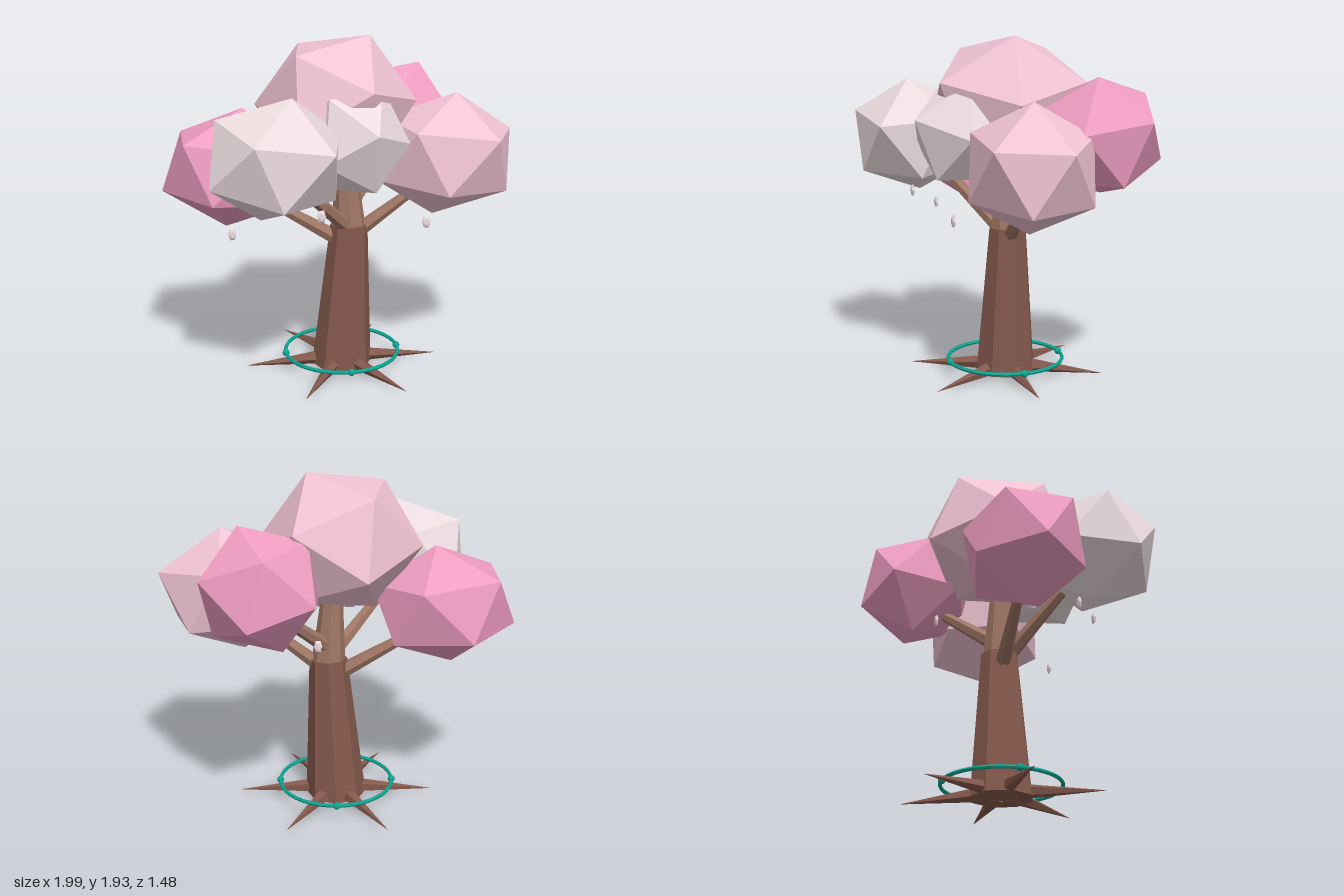
import * as THREE from 'three';

const V = (a) => new THREE.Vector3(...a);
const mat = (color) => new THREE.MeshStandardMaterial({ color, flatShading: true });
const BARK = mat(0x85594d), BRANCH = mat(0xa07765), TEAL = mat(0x0fa391);
const PALE = mat(0xecdcdf), LIGHT = mat(0xf0c3d3), PINK = mat(0xee9dc1);

// Orthonormal frame from a vertex direction and a neighbouring vertex direction
function frame(u, v) {
  const x = u.clone().normalize();
  const z = x.clone().cross(v).normalize();
  return new THREE.Matrix4().makeBasis(x, z.clone().cross(x), z);
}

// Twenty-sided leaf cluster, turned so one corner points along u and the next towards v
function cluster(name, center, size, u, v, material) {
  const t = (1 + Math.sqrt(5)) / 2;
  const geo = new THREE.IcosahedronGeometry(1, 0);
  const base = frame(V([-1, t, 0]), V([1, t, 0])).invert();
  geo.applyMatrix4(frame(V(u), V(v)).multiply(base));
  geo.scale(...size);
  geo.translate(...center);
  geo.computeVertexNormals();
  const mesh = new THREE.Mesh(geo, material);
  mesh.name = name;
  return mesh;
}

// Tapered limb between two points
function limb(name, from, to, r0, r1, sides, material) {
  const a = V(from), d = V(to).sub(a);
  const geo = new THREE.CylinderGeometry(r1, r0, d.length(), sides);
  geo.translate(0, d.length() / 2, 0);
  const mesh = new THREE.Mesh(geo, material);
  mesh.quaternion.setFromUnitVectors(new THREE.Vector3(0, 1, 0), d.normalize());
  mesh.position.copy(a);
  mesh.name = name;
  return mesh;
}

// Vertical tapered trunk piece whose top is shifted sideways
function trunkPiece(name, x0, y0, r0, x1, y1, r1, material) {
  const geo = new THREE.CylinderGeometry(r1, r0, y1 - y0, 8);
  const p = geo.attributes.position;
  for (let i = 0; i < p.count; i++) p.setX(i, p.getX(i) + (p.getY(i) > 0 ? x1 : x0));
  geo.translate(0, (y0 + y1) / 2, 0);
  geo.computeVertexNormals();
  const mesh = new THREE.Mesh(geo, material);
  mesh.name = name;
  return mesh;
}

export function createModel() {
  const tree = new THREE.Group();
  tree.name = 'blossomTree';

  // Trunk
  tree.add(trunkPiece('lowerTrunk', 0, 0.01, 0.175, 0.043, 0.86, 0.108, BARK));
  tree.add(trunkPiece('upperTrunk', 0.045, 0.8, 0.1, 0.015, 1.35, 0.05, BRANCH));

  // Branches reaching into the leaf clusters
  const branches = [
    [[0.03, 0.74, 0], [-0.55, 1.09, -0.04], 0.048, 0.022],
    [[0.04, 0.84, 0.03], [-0.35, 1.24, 0.34], 0.045, 0.025],
    [[0.05, 0.78, 0], [0.52, 1.13, 0.04], 0.045, 0.022],
    [[0.04, 0.93, -0.02], [0.36, 1.26, -0.34], 0.045, 0.025],
  ];
  for (const [a, b, r0, r1] of branches) tree.add(limb('branch', a, b, r0, r1, 6, BRANCH));

  // Six pointed roots
  for (let i = 0; i < 6; i++) {
    const a = (i * Math.PI) / 3;
    tree.add(limb('root', [0.04 * Math.cos(a), 0.048, 0.04 * Math.sin(a)],
      [0.56 * Math.cos(a), 0.018, 0.56 * Math.sin(a)], 0.05, 0.001, 5, BARK));
  }

  // Ring around the foot with four beads
  const ring = new THREE.Mesh(new THREE.TorusGeometry(0.33, 0.011, 6, 40), TEAL);
  ring.rotation.x = Math.PI / 2;
  ring.position.y = 0.083;
  ring.name = 'ring';
  tree.add(ring);
  for (let i = 0; i < 4; i++) {
    const a = (i * Math.PI) / 2;
    const bead = new THREE.Mesh(new THREE.IcosahedronGeometry(0.021, 1), TEAL);
    bead.position.set(0.33 * Math.cos(a), 0.083, 0.33 * Math.sin(a));
    bead.name = 'bead';
    tree.add(bead);
  }

  // Leaf clusters
  tree.add(
    cluster('topCluster', [-0.03, 1.56, -0.03], [0.45, 0.41, 0.48],
      [0.4, 0.866, 0.06], [-0.62, 0.756, 0.48], LIGHT),
    cluster('rightSideCluster', [-0.6, 1.2, -0.06], [0.425, 0.34, 0.35],
      [0.12, 0.976, 0], [0.94, 0.256, 0], PINK),
    cluster('frontRightCluster', [-0.417, 1.353, 0.42], [0.4, 0.345, 0.375],
      [-0.357, 0.426, 0.88], [0.2, 0.957, 0.133], PALE),
    cluster('frontCluster', [0.035, 1.4, 0.2], [0.3, 0.33, 0.37],
      [0.226, 0.258, 0.94], [0.47, 0.88, 0.03], PALE),
    cluster('leftSideCluster', [0.58, 1.26, 0.055], [0.44, 0.355, 0.37],
      [0.136, 0.98, 0.03], [0.94, 0.27, -0.22], LIGHT),
    cluster('backLeftCluster', [0.4, 1.395, -0.4], [0.36, 0.35, 0.375],
      [0.316, 0.914, 0.16], [-0.16, 0.34, 0.93], PINK),
  );

  // Falling petals
  const petals = [[-0.64, 0.905, 0.23], [0.39, 0.98, 0.42], [-0.19, 1.06, 0.49], [0.1, 1.06, -0.36]];
  for (const p of petals) {
    const petal = new THREE.Mesh(new THREE.IcosahedronGeometry(1, 0), PALE);
    petal.scale.set(0.025, 0.039, 0.013);
    petal.position.set(...p);
    petal.name = 'petal';
    tree.add(petal);
  }
  return tree;
}
